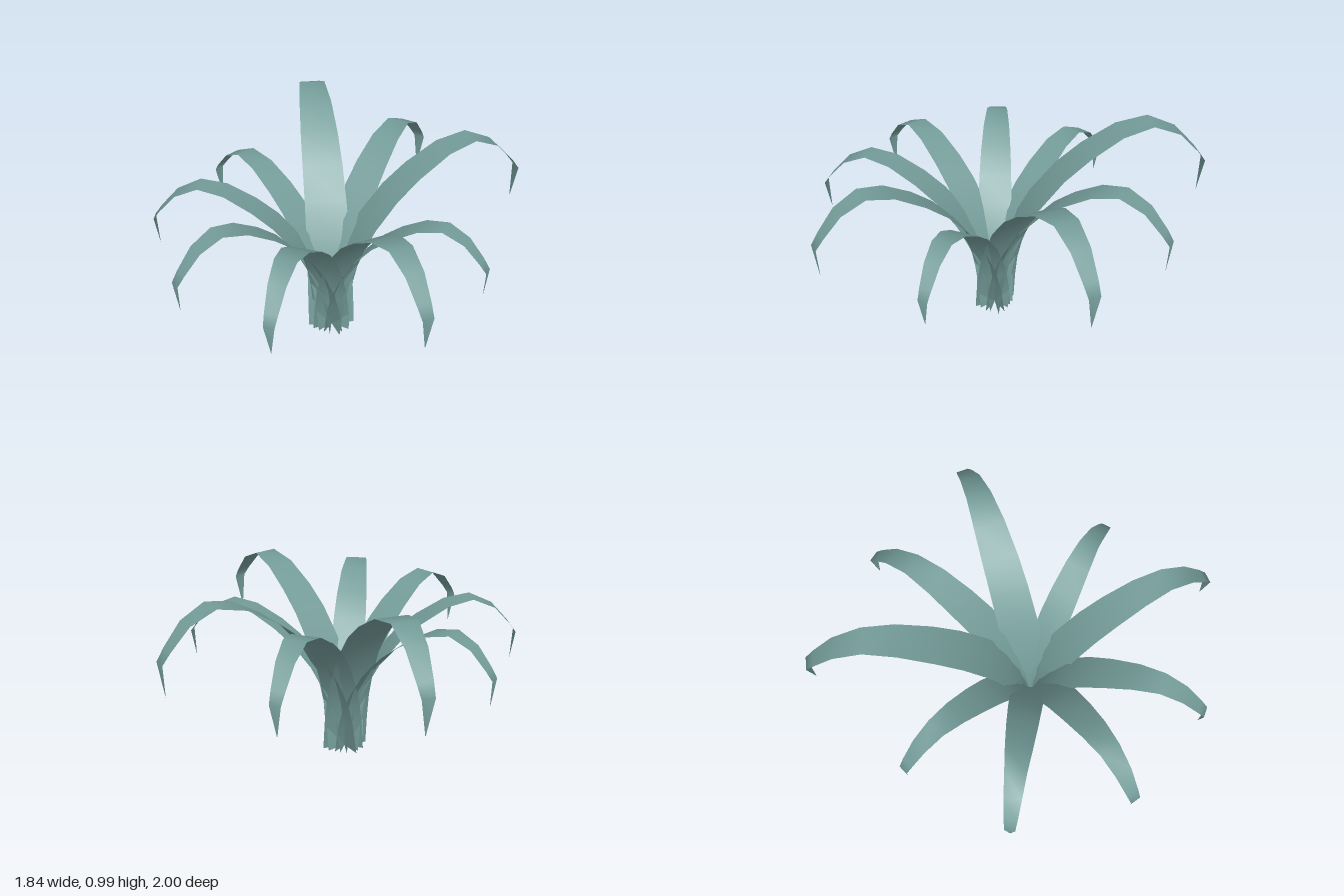
import * as THREE from 'three';

// Shared leaf outline: [distance out, height, half width], for a leaf of reach 1
const PROFILE = [
  [0, 0, 0.108], [0.02, 0.15, 0.107], [0.05, 0.28, 0.105], [0.105, 0.41, 0.102],
  [0.19, 0.56, 0.098], [0.31, 0.7, 0.094], [0.43, 0.797, 0.088], [0.586, 0.89, 0.076],
  [0.732, 0.923, 0.061], [0.864, 0.863, 0.049], [0.96, 0.756, 0.037],
  [1, 0.7, 0.03], [0.98, 0.53, 0.001],
];

// Crown centre, and the farthest point of every leaf as [x, z]
const CROWN = [-0.09, 0.05];
const LEAF_ENDS = [
  [0.92, -0.005], [0.62, -0.55], [0.13, -0.995], [-0.455, -0.695], [-0.88, -0.3],
  [-0.915, 0.3], [-0.61, 0.755], [0.025, 0.99], [0.48, 0.625],
];

// Arching flat ribbon growing along +x from the origin
function leafGeometry(reach) {
  const positions = [];
  const index = [];
  PROFILE.forEach(([r, y, w], i) => {
    for (const side of [-1, 1]) positions.push(r * reach, y * reach, side * w * reach);
    if (i === 0) return;
    const a = 2 * (i - 1);
    index.push(a, a + 1, a + 2, a + 1, a + 3, a + 2);
  });
  const geometry = new THREE.BufferGeometry();
  geometry.setAttribute('position', new THREE.Float32BufferAttribute(positions, 3));
  geometry.setIndex(index);
  geometry.computeVertexNormals();
  return geometry;
}

export function createModel() {
  const plant = new THREE.Group();
  plant.name = 'plant';
  const leafGreen = new THREE.MeshStandardMaterial({ color: 0x739b98, side: THREE.DoubleSide });
  leafGreen.name = 'leafGreen';

  // Leaves cross at the crown and fan out in all directions
  LEAF_ENDS.forEach(([x, z], i) => {
    const dx = x - CROWN[0];
    const dz = z - CROWN[1];
    const leaf = new THREE.Mesh(leafGeometry(Math.hypot(dx, dz)), leafGreen);
    leaf.name = `leaf${i + 1}`;
    leaf.position.set(CROWN[0], 0, CROWN[1]);
    leaf.rotation.y = Math.atan2(-dz, dx);
    plant.add(leaf);
  });
  return plant;
}
